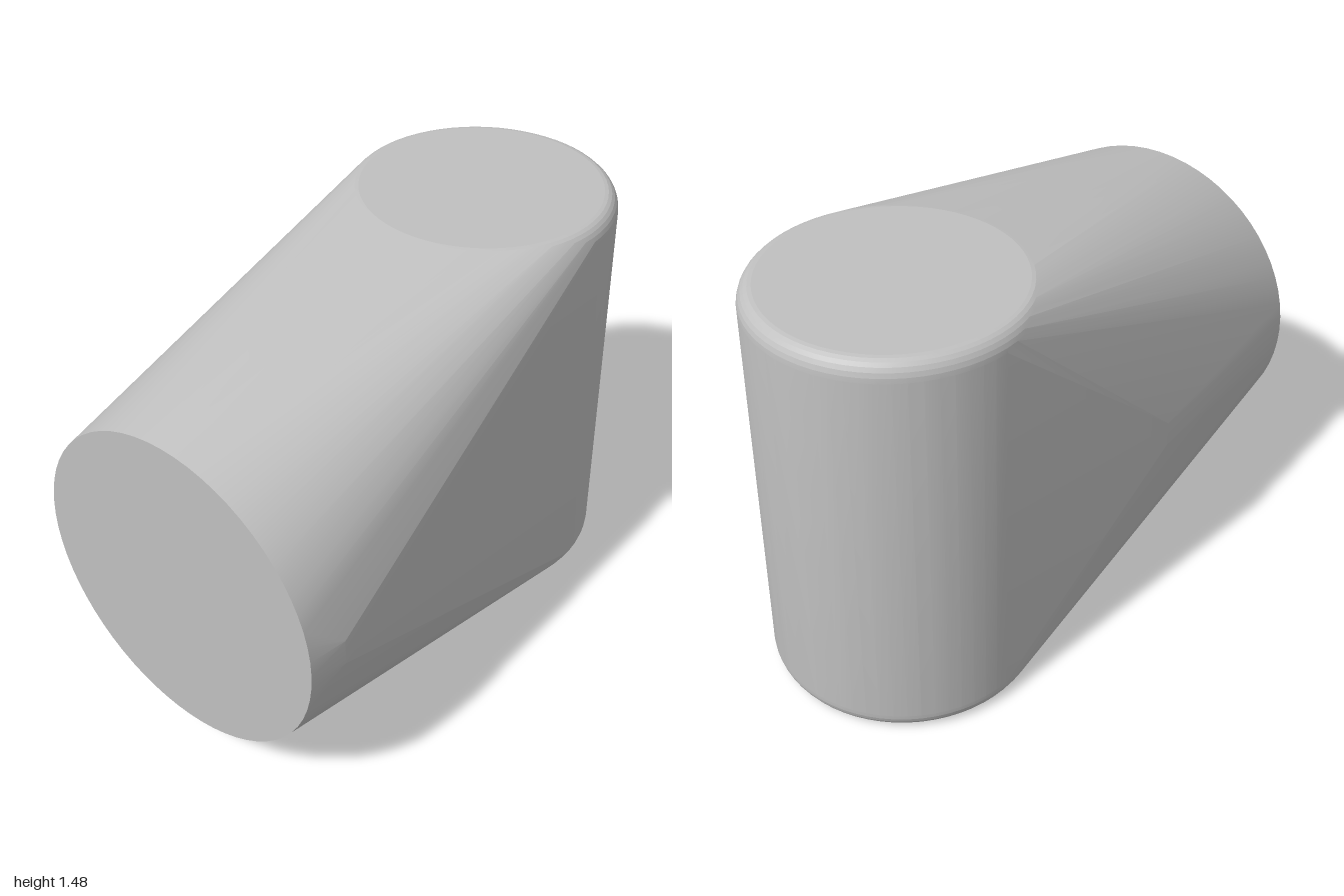
import * as THREE from 'three';
import { ConvexGeometry } from 'three/addons/geometries/ConvexGeometry.js';
import { toCreasedNormals } from 'three/addons/utils/BufferGeometryUtils.js';

const SEGMENTS = 64;

// Points round a circle: place(cos, sin) gives each position
function ring(place) {
  return Array.from({ length: SEGMENTS }, (_, i) => {
    const a = (i / SEGMENTS) * Math.PI * 2;
    return place(Math.cos(a), Math.sin(a));
  });
}

export function createModel() {
  const group = new THREE.Group();
  group.name = 'roundedConnector';
  const gray = new THREE.MeshStandardMaterial({ color: 0xc0c0c0 });
  gray.name = 'light gray';

  const points = [];

  // Upright column at the back, with rounded rims at top and bottom
  const radius = 0.47, height = 1.476, bevel = 0.05, rise = 0.065, steps = 6;
  for (let i = 0; i <= steps; i++) {
    const t = (i / steps) * Math.PI / 2;
    const r = radius - bevel * (1 - Math.cos(t));
    const inset = rise * (1 - Math.sin(t));
    for (const y of [inset, height - inset]) {
      points.push(...ring((c, s) => new THREE.Vector3(r * c, y, -0.53 + r * s)));
    }
  }

  // Round flat end at the front
  points.push(...ring((c, s) => new THREE.Vector3(-0.005 + 0.568 * c, 0.688 + 0.568 * s, 1)));

  // Slight swelling on the two flanks
  for (const y of [0.64, 0.688, 0.735]) {
    points.push(new THREE.Vector3(-0.575, y, 0.2), new THREE.Vector3(0.575, y, 0.86));
  }

  // Skin stretched over the column and the round end
  const body = new THREE.Mesh(toCreasedNormals(new ConvexGeometry(points), 0.12), gray);
  body.name = 'body';
  group.add(body);
  return group;
}
